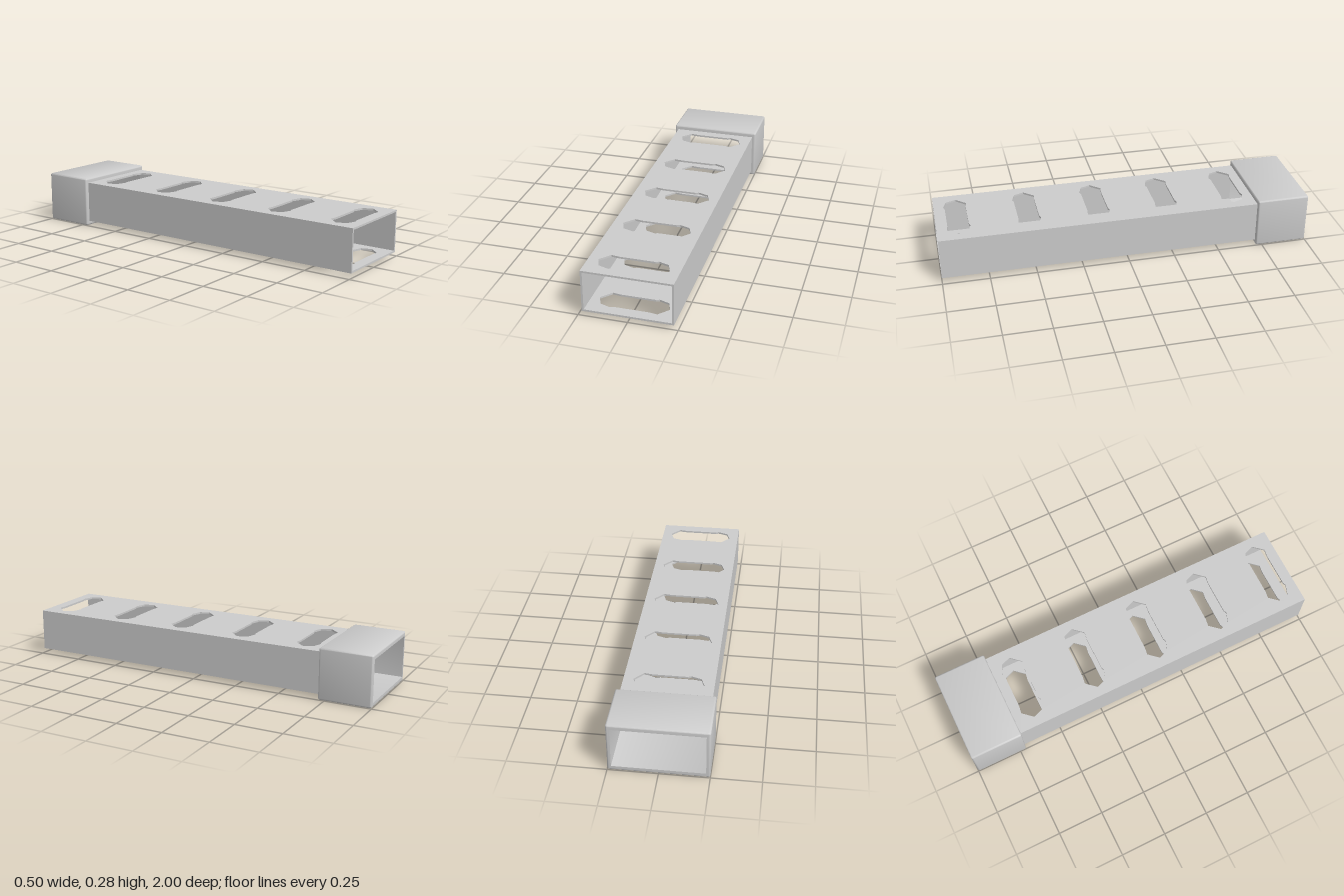
import * as THREE from 'three';
import { toCreasedNormals } from 'three/addons/utils/BufferGeometryUtils.js';

const W = 0.23, Y0 = 0.025, Y1 = 0.25, WALL = 0.01; // tube section
const FRONT = 1, JOINT = -0.715, BACK = -1; // z stations
const material = new THREE.MeshStandardMaterial({ color: 0xcccccc });

function addMesh(parent, name, geometry, x = 0, y = 0, z = 0) {
  const mesh = new THREE.Mesh(geometry, material);
  mesh.name = name;
  mesh.position.set(x, y, z);
  parent.add(mesh);
}

// Flat plate pierced by a row of faceted slots; lies in x-z, thickness downward
function slottedPlate() {
  const shape = new THREE.Shape();
  shape.moveTo(-W, JOINT).lineTo(W, JOINT).lineTo(W, FRONT).lineTo(-W, FRONT).closePath();
  const half = [[-0.18, -0.008], [-0.132, -0.062], [-0.09, -0.056],
    [0.09, -0.056], [0.107, -0.063], [0.16, -0.045]];
  const slot = [...half, ...half.map(([x, z]) => [-x, -z])];
  for (let i = 0; i < 5; i++) {
    const zc = -0.605 + i * 0.3725;
    shape.holes.push(new THREE.Path(slot.map(([x, z]) => new THREE.Vector2(x, z + zc))));
  }
  return new THREE.ExtrudeGeometry(shape, { depth: WALL, bevelEnabled: false }).rotateX(Math.PI / 2);
}

// Rounded rectangle outline, counter-clockwise
function outline(hw, hh, r, steps = 4) {
  const points = [];
  [[1, 1], [-1, 1], [-1, -1], [1, -1]].forEach(([sx, sy], q) => {
    for (let k = 0; k <= steps; k++) {
      const a = (q + k / steps) * Math.PI / 2;
      points.push([sx * (hw - r) + r * Math.cos(a), sy * (hh - r) + r * Math.sin(a)]);
    }
  });
  return points;
}

// Hollow sleeve: closed loop of outlines, outer rims rounded, bore sharp
function collarGeometry() {
  const hw = 0.25, hh = 0.1375, r = 0.01, steps = 4;
  const bore = outline(W, (Y1 - Y0) / 2, 0.0005);
  const sections = [{ pts: bore, z: JOINT }];
  for (const end of [1, -1]) {
    for (let k = 0; k <= steps; k++) {
      const a = (end > 0 ? k : steps - k) / steps * Math.PI / 2;
      const inset = r * (1 - Math.sin(a));
      const z = end > 0 ? JOINT - r * (1 - Math.cos(a)) : BACK + r * (1 - Math.cos(a));
      sections.push({ pts: outline(hw - inset, hh - inset, Math.max(r - inset, 0.0005)), z });
    }
  }
  sections.push({ pts: bore, z: BACK });

  const n = bore.length, m = sections.length, position = [], index = [];
  for (const { pts, z } of sections) for (const [x, y] of pts) position.push(x, y, z);
  for (let i = 0; i < m; i++) {
    for (let j = 0; j < n; j++) {
      const i2 = (i + 1) % m, j2 = (j + 1) % n;
      const a = i * n + j, b = i * n + j2, c = i2 * n + j, d = i2 * n + j2;
      index.push(a, c, b, b, c, d);
    }
  }
  const geometry = new THREE.BufferGeometry();
  geometry.setAttribute('position', new THREE.Float32BufferAttribute(position, 3));
  geometry.setIndex(index);
  return toCreasedNormals(geometry, 0.7);
}

export function createModel() {
  const model = new THREE.Group();
  model.name = 'slottedTubeWithCollar';

  // Rectangular tube: slotted top and bottom, plain sides
  const tube = new THREE.Group();
  tube.name = 'tube';
  model.add(tube);
  const plate = slottedPlate();
  addMesh(tube, 'topPlate', plate, 0, Y1);
  addMesh(tube, 'bottomPlate', plate, 0, Y0 + WALL);
  const side = new THREE.BoxGeometry(WALL, Y1 - Y0 - 2 * WALL, FRONT - JOINT);
  for (const s of [1, -1]) {
    addMesh(tube, s > 0 ? 'leftWall' : 'rightWall', side,
      s * (W - WALL / 2), (Y0 + Y1) / 2, (FRONT + JOINT) / 2);
  }

  // Wider sleeve at the rear end
  addMesh(model, 'collar', collarGeometry(), 0, 0.1375, 0);
  return model;
}
